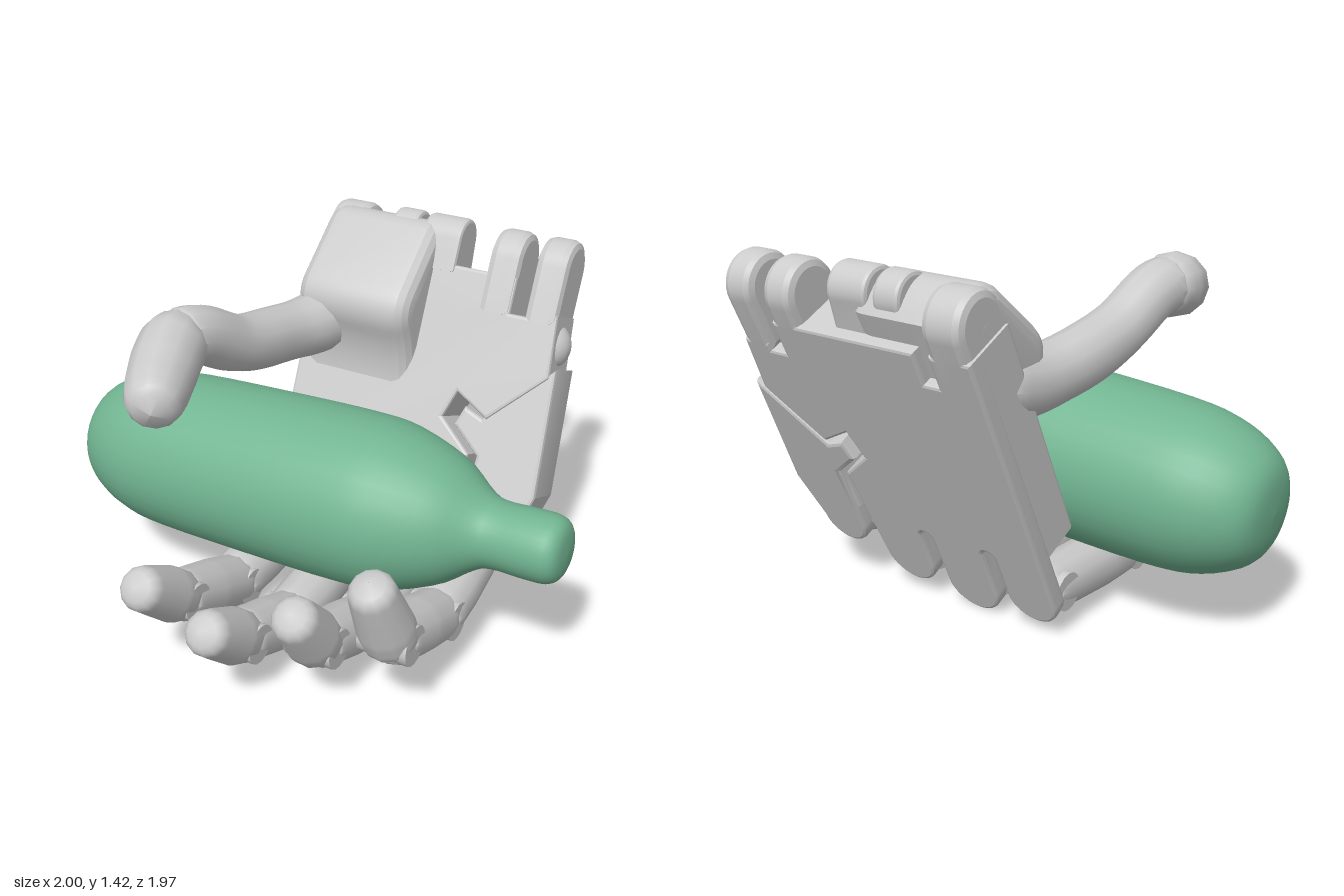
import * as THREE from 'three';
import { toCreasedNormals } from 'three/addons/utils/BufferGeometryUtils.js';

const grey = new THREE.MeshStandardMaterial({ color: 0xcccccc });
const green = new THREE.MeshStandardMaterial({ color: 0x72b592 });

// Palm axes: across the knuckles, towards the wrist, and out of the palm
const across = new THREE.Vector3(0.4, 0, 0.917).normalize();
const inward = across.clone().cross(new THREE.Vector3(0.38, 0.91, -0.16)).normalize();
const wristward = inward.clone().cross(across);

function add(parent, name, geometry, material = grey) {
  const mesh = new THREE.Mesh(geometry, material);
  mesh.name = name;
  parent.add(mesh);
  return mesh;
}

// Round-ended limb along a path, with radii spread evenly over its length
function limb(points, radii, rings = 24) {
  const curve = new THREE.CatmullRomCurve3(points);
  const g = new THREE.TubeGeometry(curve, rings, 1, 12);
  const length = curve.getLength(), pos = g.attributes.position, v = new THREE.Vector3();
  for (let i = 0; i <= rings; i++) {
    const u = i / rings, c = curve.getPointAt(u);
    const k = Math.min(u * (radii.length - 1), radii.length - 1.0001), j = Math.floor(k);
    const r = THREE.MathUtils.lerp(radii[j], radii[j + 1], k - j);
    const end = Math.min(1, Math.min(u, 1 - u) * length / (r * 0.7));
    const s = Math.max(0.001, r * Math.sqrt(1 - (1 - end) ** 2));
    for (let n = 0; n <= 12; n++) {
      v.fromBufferAttribute(pos, i * 13 + n).sub(c).multiplyScalar(s).add(c);
      pos.setXYZ(i * 13 + n, v.x, v.y, v.z);
    }
  }
  return toCreasedNormals(g, 0.6);
}

// Slab with a softened rim; depth includes the bevels
function slab(shape, depth, bevel, bevelSegments = 2) {
  const g = new THREE.ExtrudeGeometry(shape, {
    depth: depth - 2 * bevel, bevelThickness: bevel, bevelSize: bevel,
    bevelOffset: -bevel, bevelSegments, curveSegments: 10,
  });
  return toCreasedNormals(g.translate(0, 0, bevel), 0.35);
}

// Profile drawn as (palm depth, wristward), extruded across the palm
function crosswise(shape, from, to, bevel, segments) {
  return slab(shape, to - from, bevel, segments).rotateY(-Math.PI / 2).translate(to, 0, 0);
}

const polygon = (list) => new THREE.Shape(list.map(([x, y]) => new THREE.Vector2(x, y)));

function makePalm() {
  const palm = new THREE.Group();
  palm.name = 'palm';
  palm.quaternion.setFromRotationMatrix(new THREE.Matrix4().makeBasis(across, wristward, inward));

  // Thin back plate with three knuckle tongues, and the thick body in front of it
  const rim = [[0.39, 0.7], [0.25, 0.82], [0.29, 0.93], [0.43, 0.85], [0.64, 1.06], [0.62, 1.3], [0.5, 1.3],
    [0.5, 1.27], [0.43, 1.27], [0.43, 1.41], [-0.2, 1.41], [-0.2, 1.28], [-0.26, 1.28], [-0.26, 1.41], [-0.43, 1.41]];
  const plate = new THREE.Shape();
  plate.moveTo(-0.44, 0.26);
  plate.absarc(-0.335, 0.26, 0.105, Math.PI, 2 * Math.PI);
  plate.lineTo(-0.23, 0.45);
  plate.absarc(-0.2, 0.45, 0.03, Math.PI, 0, true);
  plate.lineTo(-0.17, 0.225);
  plate.absarc(-0.055, 0.225, 0.115, Math.PI, 2 * Math.PI);
  plate.lineTo(0.06, 0.45);
  plate.absarc(0.09, 0.45, 0.03, Math.PI, 0, true);
  plate.lineTo(0.12, 0.28);
  plate.absarc(0.235, 0.28, 0.115, Math.PI, 2 * Math.PI);
  for (const [x, y] of rim) plate.lineTo(x, y);
  add(palm, 'backPlate', slab(plate, 0.07, 0.012)).position.z = -0.24;
  add(palm, 'palmBody', slab(polygon([[-0.435, 0.48], [0.37, 0.48], ...rim]), 0.22, 0.012)).position.z = -0.23;

  // Hinged plate carrying the little finger
  const flapRim = [[0.42, 0.7], [0.3, 0.8], [0.33, 0.88], [0.41, 0.85], [0.66, 1.1], [0.69, 0.6]];
  const flap = new THREE.Shape();
  flap.moveTo(0.69, 0.6);
  flap.lineTo(0.625, 0.4);
  flap.absarc(0.52, 0.4, 0.105, 0, Math.PI, true);
  for (const [x, y] of flapRim) flap.lineTo(x, y);
  add(palm, 'littleFingerPlate', slab(flap, 0.07, 0.015)).position.z = -0.25;
  const flapBody = polygon([[0.66, 0.5], [0.41, 0.5], ...flapRim]);
  add(palm, 'littleFingerBody', slab(flapBody, 0.22, 0.015)).position.z = -0.24;
  add(palm, 'plateBallJoint', new THREE.SphereGeometry(0.1, 20, 14)).position.set(0.565, 1.18, -0.12);

  // Rounded wrist lugs
  const lug = new THREE.Shape();
  lug.moveTo(-0.24, 1.26);
  lug.lineTo(0, 1.26);
  lug.lineTo(0, 1.475);
  lug.absarc(-0.12, 1.475, 0.12, 0, Math.PI);
  for (const [from, to] of [[-0.42, -0.26], [0.3, 0.43], [0.49, 0.62]]) {
    add(palm, 'wristLug', crosswise(lug, from, to, 0.03));
  }

  // Thumb mound and its wrist hinge
  const mound = new THREE.Shape();
  mound.moveTo(-0.2, 1.5);
  mound.quadraticCurveTo(-0.05, 1.62, 0.03, 1.52);
  mound.lineTo(0.15, 1.28);
  mound.quadraticCurveTo(0.2, 1.18, 0.12, 1.1);
  mound.quadraticCurveTo(0.01, 1, -0.03, 0.84);
  mound.lineTo(-0.2, 0.84);
  add(palm, 'thumbMound', crosswise(mound, -0.42, 0.08, 0.075, 4));
  const hinge = new THREE.Shape();
  hinge.moveTo(-0.2, 1.38);
  hinge.lineTo(0.0, 1.38);
  hinge.lineTo(0.0, 1.51);
  hinge.absarc(-0.09, 1.51, 0.09, 0, Math.PI);
  for (const [from, to] of [[-0.14, -0.03], [0, 0.17]]) {
    add(palm, 'thumbHinge', crosswise(hinge, from, to, 0.015));
  }
  return palm;
}

// Three jointed segments with a hinge pin at each joint
function makeFinger(name, joints) {
  const finger = new THREE.Group();
  finger.name = name;
  const p = joints.map((j) => new THREE.Vector3(...j));
  const radii = [[0.1, 0.108, 0.113, 0.106], [0.105, 0.11, 0.1], [0.102, 0.105, 0.092, 0.078]];
  ['lowerSegment', 'middleSegment', 'fingertip'].forEach((part, i) => {
    const d = p[i + 1].clone().sub(p[i]).normalize();
    const a = p[i].clone().addScaledVector(d, i ? -0.05 : -0.09), b = p[i + 1].clone().addScaledVector(d, 0.045);
    add(finger, part, limb([a, b], radii[i]));
    const pin = add(finger, 'hingePin', new THREE.CylinderGeometry(0.075, 0.075, 0.19, 16));
    pin.position.copy(p[i]);
    pin.quaternion.setFromUnitVectors(new THREE.Vector3(0, 1, 0), across);
  });
  return finger;
}

function makeThumb() {
  const thumb = new THREE.Group();
  thumb.name = 'thumb';
  const path = (list) => list.map((q) => new THREE.Vector3(...q));
  add(thumb, 'thumbBase', limb(path([[0.42, 1.04, -0.5], [0.2, 1.01, -0.46], [0, 1.03, -0.42],
    [-0.25, 1.09, -0.34], [-0.45, 1.2, -0.29], [-0.58, 1.22, -0.26]]),
  [0.14, 0.13, 0.115, 0.115, 0.11, 0.11, 0.11], 32));
  add(thumb, 'thumbTip', limb(path([[-0.46, 1.22, -0.33], [-0.58, 1.2, -0.24], [-0.72, 1.15, -0.1],
    [-0.82, 1.12, 0.02]]), [0.09, 0.125, 0.125, 0.115, 0.09]));
  return thumb;
}

// Bottle: turned profile laid along its axis, neck towards the front
function makeBottle() {
  const profile = new THREE.SplineCurve([[0, 0], [0.14, 0.015], [0.225, 0.08], [0.29, 0.22], [0.318, 0.4],
    [0.328, 0.8], [0.33, 1.2], [0.312, 1.4], [0.24, 1.6], [0.15, 1.73], [0.126, 1.8], [0.128, 1.92],
    [0.123, 2.01], [0.085, 2.05], [0, 2.06]].map(([x, y]) => new THREE.Vector2(x, y)));
  const points = profile.getPoints(48).map((q) => new THREE.Vector2(Math.max(0, q.x), q.y));
  const bottle = new THREE.Mesh(new THREE.LatheGeometry(points, 32), green);
  bottle.name = 'bottle';
  const tail = new THREE.Vector3(-0.52, 0.535, -0.95), tip = new THREE.Vector3(0.265, 0.635, 0.98);
  bottle.position.copy(tail);
  bottle.quaternion.setFromUnitVectors(new THREE.Vector3(0, 1, 0), tip.sub(tail).normalize());
  return bottle;
}

export function createModel() {
  const model = new THREE.Group();
  model.name = 'handHoldingBottle';
  model.add(makePalm(), makeThumb(), makeBottle());
  model.add(
    makeFinger('indexFinger', [[0.07, 0.17, -0.4], [-0.4, 0.135, -0.2], [-0.73, 0.29, -0.06], [-0.93, 0.47, 0.04]]),
    makeFinger('middleFinger', [[0.17, 0.14, -0.13], [-0.35, 0.12, 0.11], [-0.66, 0.26, 0.25], [-0.85, 0.43, 0.35]]),
    makeFinger('ringFinger', [[0.31, 0.18, 0.12], [-0.15, 0.16, 0.34], [-0.48, 0.3, 0.48], [-0.63, 0.52, 0.56]]),
    makeFinger('littleFinger', [[0.45, 0.3, 0.34], [0, 0.25, 0.565], [-0.33, 0.39, 0.71], [-0.45, 0.67, 0.75]]),
  );
  return model;
}
